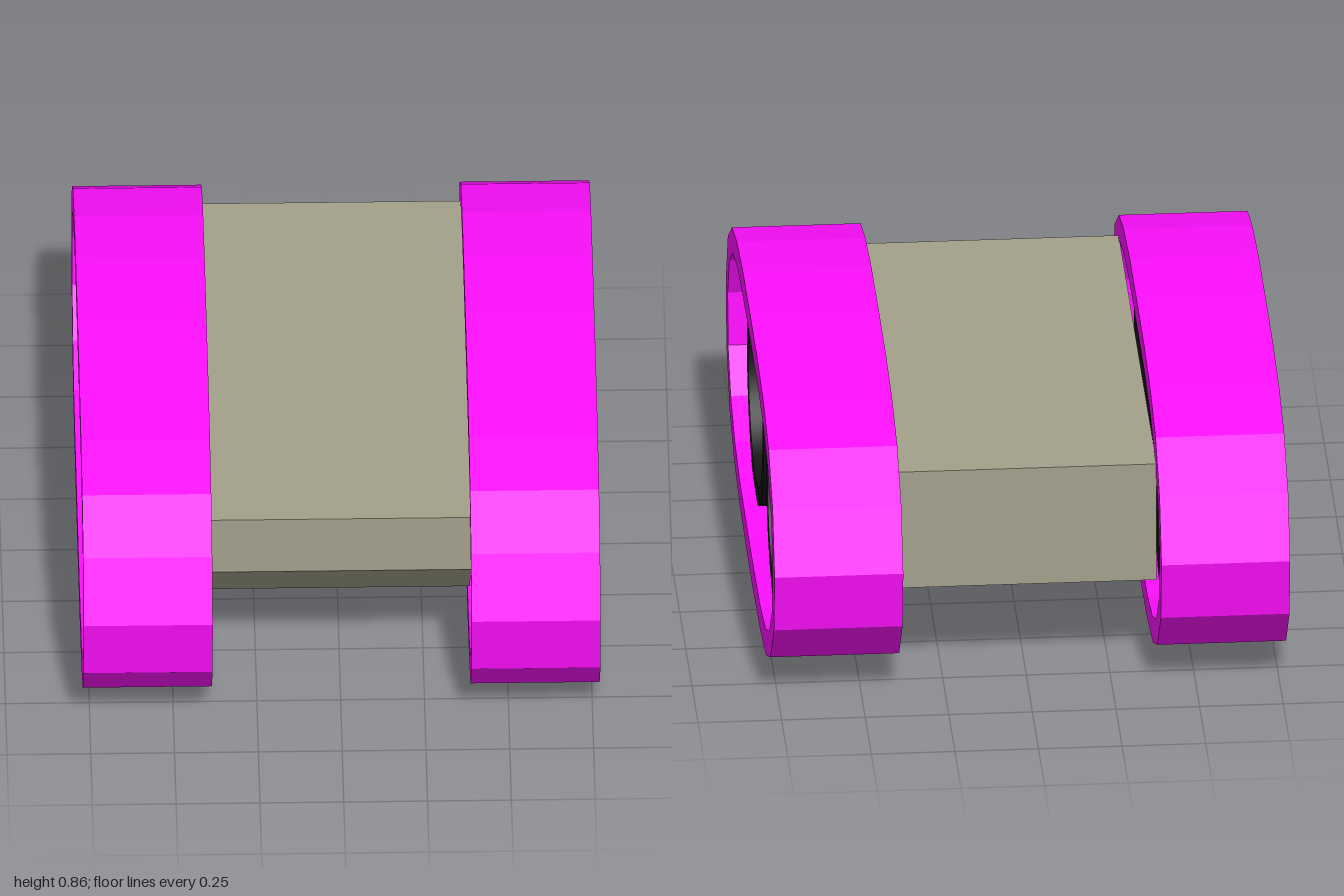
import * as THREE from 'three';
import { toCreasedNormals } from 'three/addons/utils/BufferGeometryUtils.js';

const paint = (color, flatShading = false) => new THREE.MeshStandardMaterial({ color, flatShading });

// Side outlines as [z, y]
const TRACK_OUTER = [
  [1, 0.48], [0.915, 0.67], [0.75, 0.78], [0.55, 0.83], [0.3, 0.853], [0, 0.856],
  [-0.3, 0.853], [-0.55, 0.83], [-0.755, 0.778], [-0.92, 0.66], [-1, 0.473],
  [-0.97, 0.284], [-0.83, 0.126], [-0.65, 0.045], [-0.42, 0.012], [-0.12, 0],
  [0.12, 0], [0.455, 0.018], [0.655, 0.053], [0.84, 0.126], [0.97, 0.28],
];
const TRACK_INNER = [
  [0.92, 0.48], [0.855, 0.62], [0.715, 0.71], [0.53, 0.757], [0.3, 0.772], [0, 0.776],
  [-0.3, 0.772], [-0.535, 0.752], [-0.715, 0.7], [-0.86, 0.61], [-0.918, 0.468],
  [-0.895, 0.31], [-0.78, 0.187], [-0.625, 0.12], [-0.42, 0.09], [-0.12, 0.083],
  [0.12, 0.083], [0.44, 0.095], [0.635, 0.125], [0.8, 0.195], [0.91, 0.31],
];
const HULL = [[0.775, 0.7], [-0.775, 0.7], [-0.775, 0.315], [0.61, 0.315], [0.775, 0.505]];

const vectors = (points) => points.map(([a, b]) => new THREE.Vector2(a, b));

// Extrudes a [z, y] outline across x, centred on x = 0
function extrudeAcross(outline, width, hole) {
  const shape = new THREE.Shape(vectors(outline));
  if (hole) shape.holes.push(new THREE.Path(vectors(hole)));
  const geometry = new THREE.ExtrudeGeometry(shape, { depth: width, bevelEnabled: false });
  return geometry.translate(0, 0, -width / 2).rotateY(-Math.PI / 2);
}

function addMesh(parent, name, geometry, material) {
  const mesh = new THREE.Mesh(geometry, material);
  mesh.name = name;
  parent.add(mesh);
  return mesh;
}

export function createModel() {
  const model = new THREE.Group();
  model.name = 'trackedVehicle';

  const trackPaint = paint(0xff0fff, true);
  const rubber = paint(0x111111);
  const rimPaint = paint(0xcccccc);

  // Central hull with a chamfered lower front edge
  addMesh(model, 'hull', extrudeAcross(HULL, 0.776), paint(0xa3a08b, true));

  const trackGeometry = extrudeAcross(TRACK_OUTER, 0.385, TRACK_INNER);

  // Tyre is a cup, closed on the hull side, with the rim recessed in it
  const tyreProfile = [[0, -0.15], [0.347, -0.15], [0.347, 0.15], [0.293, 0.15], [0.293, 0.02]];
  const tyreGeometry = toCreasedNormals(new THREE.LatheGeometry(vectors(tyreProfile), 64), 0.6);
  const rimGeometry = new THREE.CylinderGeometry(0.294, 0.294, 0.04, 64).translate(0, 0.02, 0);
  const hubGeometry = new THREE.CylinderGeometry(0.032, 0.032, 0.06, 24).translate(0, 0.045, 0);

  for (const [side, sign] of [['left', 1], ['right', -1]]) {
    const unit = new THREE.Group();
    unit.name = `${side}TrackUnit`;
    unit.position.x = sign * 0.5785;
    model.add(unit);

    addMesh(unit, `${side}Track`, trackGeometry, trackPaint);

    // Two wheels per track, open side facing outward
    for (const [place, z] of [['Front', 0.37], ['Rear', -0.405]]) {
      const wheel = new THREE.Group();
      wheel.name = `${side}${place}Wheel`;
      wheel.position.set(0, 0.425, z);
      wheel.rotation.z = -sign * Math.PI / 2;
      addMesh(wheel, 'tyre', tyreGeometry, rubber);
      addMesh(wheel, 'rim', rimGeometry, rimPaint);
      addMesh(wheel, 'hub', hubGeometry, rubber);
      unit.add(wheel);
    }
  }
  return model;
}
